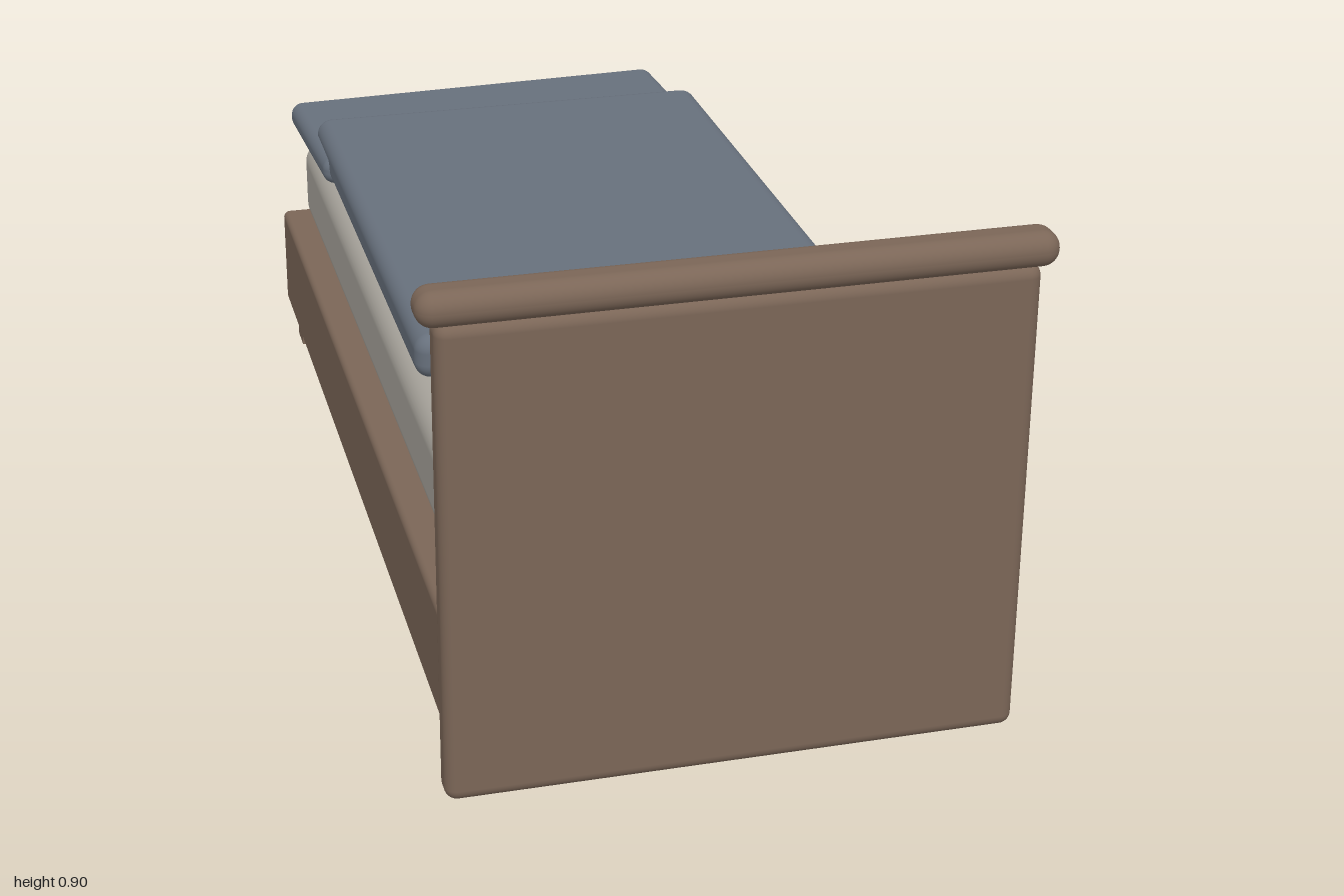
import * as THREE from 'three';
import { RoundedBoxGeometry } from 'three/addons/geometries/RoundedBoxGeometry.js';

export function createModel() {
  const bed = new THREE.Group();
  bed.name = 'bed';

  const material = (name, color) => {
    const m = new THREE.MeshStandardMaterial({ color });
    m.name = name;
    return m;
  };
  const wood = material('brown wood', 0x7b6657);
  const linen = material('pale linen', 0xa8a49c);
  const wool = material('slate blanket', 0x67707c);

  // Adds a box given its extents on each axis, with softened edges when radius > 0
  const addBox = (name, mat, [x0, x1], [y0, y1], [z0, z1], radius = 0) => {
    const size = [x1 - x0, y1 - y0, z1 - z0];
    const geometry = radius > 0
      ? new RoundedBoxGeometry(...size, 5, radius)
      : new THREE.BoxGeometry(...size);
    const mesh = new THREE.Mesh(geometry, mat);
    mesh.name = name;
    mesh.position.set((x0 + x1) / 2, (y0 + y1) / 2, (z0 + z1) / 2);
    bed.add(mesh);
    return mesh;
  };

  // Headboard with its rounded top rail
  addBox('headboard', wood, [-0.487, 0.487], [0.005, 0.852], [0.93, 0.992], 0.022);
  addBox('headboardRail', wood, [-0.515, 0.515], [0.845, 0.905], [0.924, 1], 0.029);

  // Bed frame on four short legs
  addBox('frame', wood, [-0.47, 0.47], [0.08, 0.29], [-0.905, 0.945], 0.013);
  for (const [side, x] of [['Left', 0.42], ['Right', -0.42]]) {
    addBox('headLeg' + side, wood, [x - 0.03, x + 0.03], [0, 0.1], [0.88, 0.94]);
    addBox('footLeg' + side, wood, [x - 0.03, x + 0.03], [0, 0.1], [-0.885, -0.825]);
  }

  // Mattress and pillow
  addBox('mattress', linen, [-0.425, 0.425], [0.288, 0.47], [-0.87, 0.93], 0.045);
  addBox('pillow', linen, [-0.202, 0.202], [0.468, 0.588], [0.597, 0.9], 0.052);

  // Blanket, and the crooked fold hanging past the foot of the bed
  addBox('blanket', wool, [-0.41, 0.41], [0.467, 0.55], [-0.765, 0.388], 0.03);
  const fold = addBox('blanketFold', wool, [-0.43, 0.386], [0.463, 0.52], [-0.978, -0.598], 0.025);
  fold.rotation.y = 0.047;

  return bed;
}
